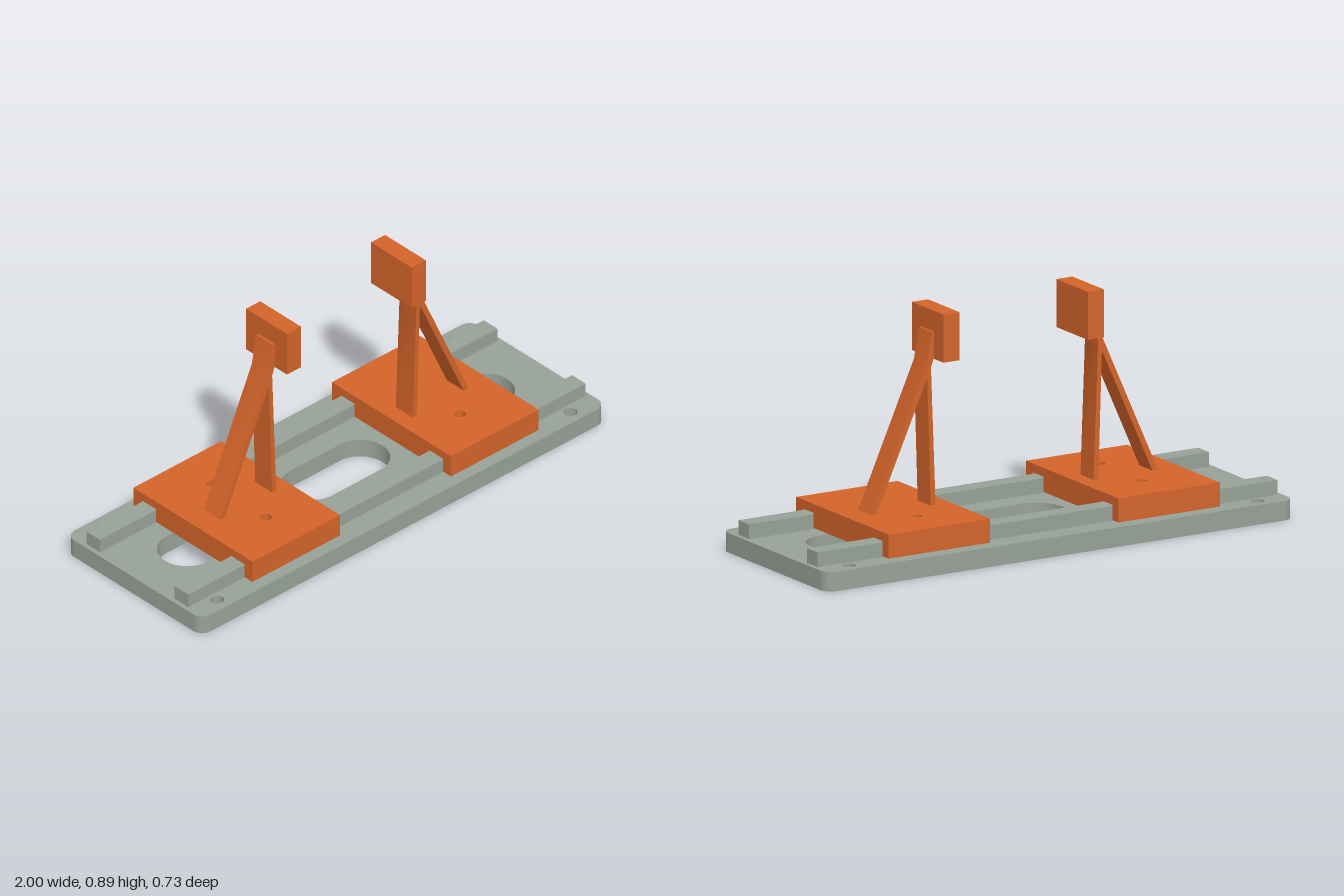
import * as THREE from 'three';
import { toCreasedNormals } from 'three/addons/utils/BufferGeometryUtils.js';

const grey = new THREE.MeshStandardMaterial({ color: 0x98a297 });
const orange = new THREE.MeshStandardMaterial({ color: 0xd4642a });

function add(parent, name, geometry, material, x = 0, y = 0, z = 0) {
  const mesh = new THREE.Mesh(geometry, material);
  mesh.name = name;
  mesh.position.set(x, y, z);
  parent.add(mesh);
  return mesh;
}

// Rounded rectangle, also used for stadium-shaped slots
function roundedRect(path, cx, cy, w, h, r) {
  const x = w / 2 - r, y = h / 2 - r, q = Math.PI / 2;
  path.absarc(cx + x, cy + y, r, 0, q);
  path.absarc(cx - x, cy + y, r, q, 2 * q);
  path.absarc(cx - x, cy - y, r, 2 * q, 3 * q);
  path.absarc(cx + x, cy - y, r, 3 * q, 4 * q);
  path.closePath();
  return path;
}

const circle = (x, y, r) => new THREE.Path().absarc(x, y, r, 0, Math.PI * 2);
const polygon = (points) => new THREE.Shape(points.map(([x, y]) => new THREE.Vector2(x, y)));

function extrude(shape, depth) {
  const geometry = new THREE.ExtrudeGeometry(shape, { depth, bevelEnabled: false, curveSegments: 16 });
  return toCreasedNormals(geometry, 0.6);
}

// Plate lying flat, rising from y = 0
const plate = (shape, height) => extrude(shape, height).rotateX(-Math.PI / 2);

function createBase() {
  const base = new THREE.Group();
  base.name = 'base';
  const shape = roundedRect(new THREE.Shape(), 0, 0, 2, 0.726, 0.045);
  for (const x of [-0.617, 0, 0.617]) {
    shape.holes.push(roundedRect(new THREE.Path(), x, 0, 0.456, 0.218, 0.109));
  }
  for (const x of [-0.873, 0.873]) {
    for (const y of [-0.309, 0.309]) shape.holes.push(circle(x, y, 0.026));
  }
  add(base, 'basePlate', plate(shape, 0.073), grey);
  for (const z of [-0.236, 0.236]) {
    add(base, 'rail', new THREE.BoxGeometry(1.964, 0.055, 0.073), grey, 0, 0.1005, z);
  }
  return base;
}

function createCarriage() {
  const carriage = new THREE.Group();
  carriage.name = 'carriage';

  // Middle block with two screw holes
  const block = polygon([[0.274, -0.198], [0.707, -0.198], [0.707, 0.198], [0.274, 0.198]]);
  for (const z of [-0.145, 0.145]) block.holes.push(circle(0.48, z, 0.021));
  add(carriage, 'carriageBlock', plate(block, 0.09), orange, 0, 0.077, 0);

  // Hooked flanges wrapping over each rail
  const flange = polygon([[0.198, 0.134], [0.276, 0.134], [0.276, 0.077],
    [0.318, 0.077], [0.318, 0.167], [0.198, 0.167]]);
  for (const side of [-1, 1]) {
    const geometry = extrude(flange, 0.433).translate(0, 0, -0.2165).rotateY(side * Math.PI / 2);
    geometry.rotateY(Math.PI);
    add(carriage, 'railFlange', geometry, orange, 0.4905, 0, 0);
  }

  // Triangular strut: upright, diagonal brace and the tip behind the pad
  const strut = polygon([[0.337, 0.16], [0.616, 0.16], [0.374, 0.7], [0.353, 0.817],
    [0.341, 0.817], [0.341, 0.73], [0.357, 0.685]]);
  strut.holes.push(new THREE.Path([[0.358, 0.167], [0.373, 0.648], [0.589, 0.167]]
    .map(([x, y]) => new THREE.Vector2(x, y))));
  add(carriage, 'strut', extrude(strut, 0.09), orange, 0, 0, -0.045);

  // Clamping pad
  add(carriage, 'pad', new THREE.BoxGeometry(0.069, 0.18, 0.218), orange, 0.3085, 0.805, 0);
  return carriage;
}

export function createModel() {
  const model = new THREE.Group();
  model.name = 'railClamp';
  const left = createCarriage();
  left.name = 'leftCarriage';
  const right = createCarriage();
  right.name = 'rightCarriage';
  right.rotation.y = Math.PI;
  model.add(createBase(), left, right);
  return model;
}
